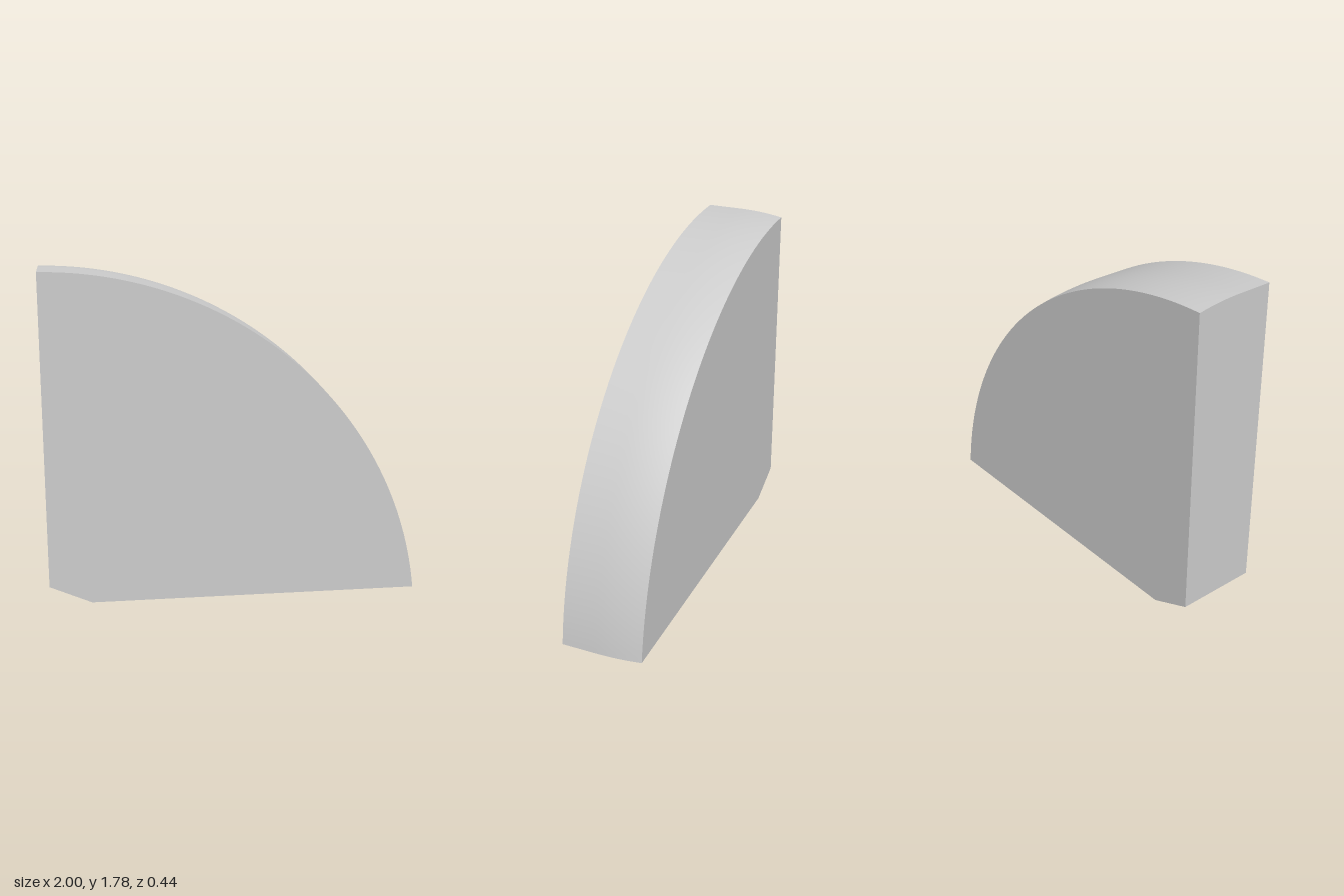
import * as THREE from 'three';
import { toCreasedNormals } from 'three/addons/utils/BufferGeometryUtils.js';

const DEPTH = 0.44;
const CX = -1, CY = -0.228, R = 2.013; // centre and radius of the curved rim

// Rim radius: straight at the front, rounding inward towards the back
function rimRadius(z) {
  const t = Math.max(0, (0.03 - z) / 0.25);
  return R - 0.023 * t * t;
}

export function createModel() {
  const group = new THREE.Group();
  group.name = 'quarterWedge';

  // Quarter-round outline with a clipped inner corner
  const shape = new THREE.Shape();
  shape.moveTo(-1, 0.1);
  shape.lineTo(-0.775, 0);
  shape.lineTo(CX + Math.sqrt(R * R - CY * CY), 0);
  shape.absarc(CX, CY, R, Math.asin(-CY / R), Math.PI / 2, false);
  shape.closePath();

  const extruded = new THREE.ExtrudeGeometry(shape, {
    depth: DEPTH, steps: 14, bevelEnabled: false, curveSegments: 48,
  });
  extruded.translate(0, 0, -DEPTH / 2);

  // Pull the rim in towards the back to round it
  const p = extruded.attributes.position;
  for (let i = 0; i < p.count; i++) {
    const dx = p.getX(i) - CX, dy = p.getY(i) - CY;
    const d = Math.hypot(dx, dy);
    if (Math.abs(d - R) > 0.001) continue;
    const s = rimRadius(p.getZ(i)) / d;
    p.setXY(i, CX + dx * s, Math.max(0, CY + dy * s));
  }

  const wedge = new THREE.Mesh(
    toCreasedNormals(extruded, 0.35),
    new THREE.MeshStandardMaterial({ color: 0xcccccc }),
  );
  wedge.name = 'roundedWedge';
  group.add(wedge);
  return group;
}
